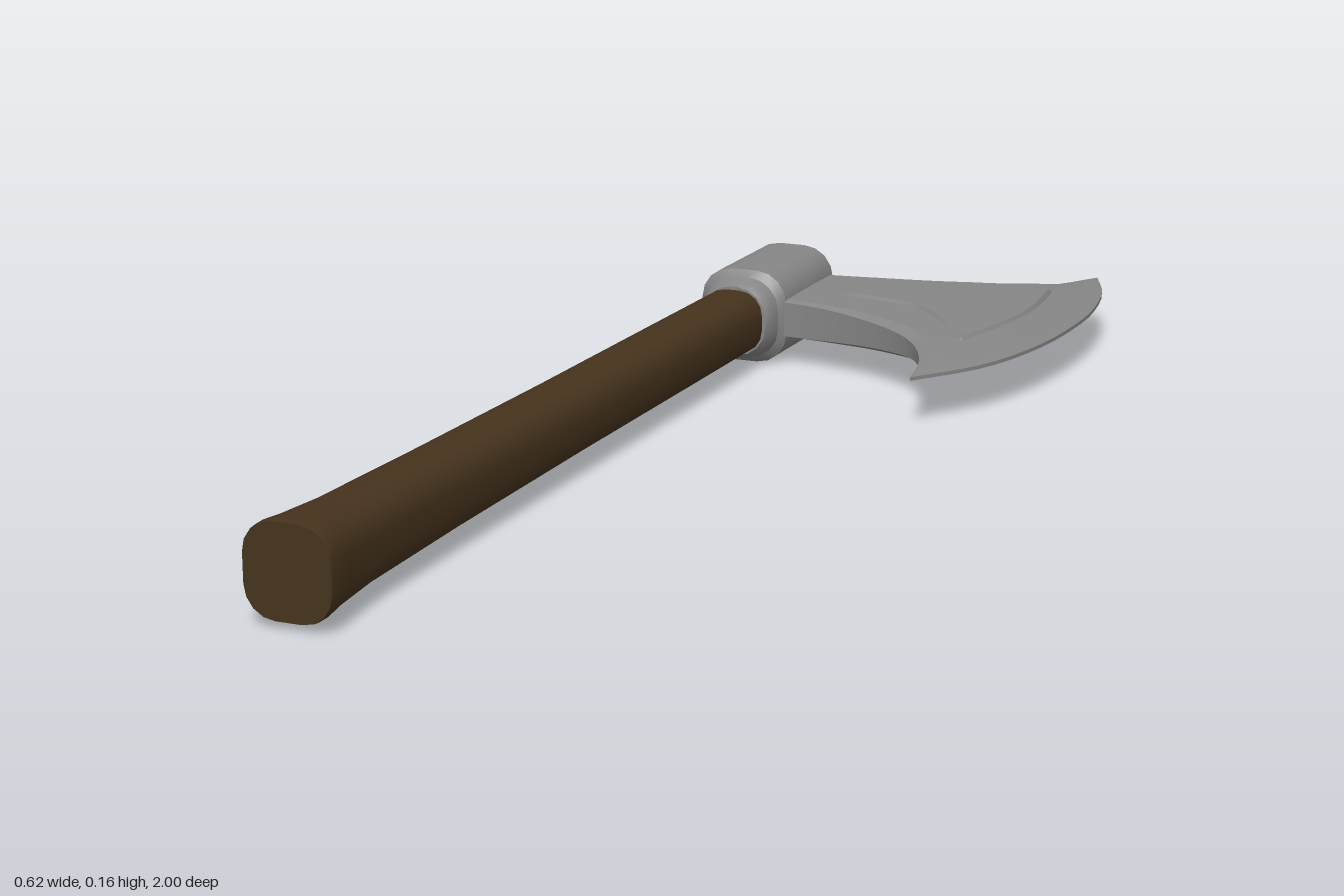
import * as THREE from 'three';
import { toCreasedNormals } from 'three/addons/utils/BufferGeometryUtils.js';

const MID_Y = 0.082;
const steel = new THREE.MeshStandardMaterial({ color: 0x868686 });
const wood = new THREE.MeshStandardMaterial({ color: 0x46331d });

// Skin a list of equal-length closed rings, optionally capping both ends
function loft(rings, crease, capped) {
  const n = rings[0].length, pos = [], idx = [];
  rings.forEach((r) => r.forEach((p) => pos.push(p.x, p.y, p.z)));
  for (let i = 0; i < rings.length - 1; i++) {
    for (let j = 0; j < n; j++) {
      const k = (j + 1) % n;
      const a = i * n + j, b = i * n + k, c = a + n, d = b + n;
      idx.push(a, b, c, b, d, c);
    }
  }
  if (capped) {
    const last = (rings.length - 1) * n;
    for (let j = 1; j < n - 1; j++) {
      idx.push(0, j + 1, j, last, last + j, last + j + 1);
    }
  }
  const geo = new THREE.BufferGeometry();
  geo.setAttribute('position', new THREE.Float32BufferAttribute(pos, 3));
  geo.setIndex(idx);
  return toCreasedNormals(geo, crease);
}

// Rounded-rectangle ring across the handle axis
function roundedRing(cx, z, hx, hy, radius) {
  const pts = [], steps = 4;
  for (let q = 0; q < 4; q++) {
    const sx = q === 0 || q === 3 ? 1 : -1, sy = q < 2 ? 1 : -1;
    for (let s = 0; s <= steps; s++) {
      const a = (q + s / steps) * Math.PI / 2;
      pts.push(new THREE.Vector3(
        cx + sx * (hx - radius) + radius * Math.cos(a),
        MID_Y + sy * (hy - radius) + radius * Math.sin(a), z));
    }
  }
  return pts;
}

const curve = (pts) => new THREE.CatmullRomCurve3(pts.map(([x, z]) => new THREE.Vector3(x, 0, z)));

// Half thickness of the blade, falling from the root to the cutting edge
const PROFILE = [[0, 0.033], [0.12, 0.032], [0.26, 0.027], [0.355, 0.019], [0.385, 0.016], [0.405, 0.01], [0.43, 0.0085], [0.6, 0.004]];
const reach = (x, z) => Math.hypot(x + 0.155, (z + 0.62) * 0.7);
function halfThickness(r) {
  let i = 1;
  while (i < PROFILE.length - 1 && r > PROFILE[i][0]) i++;
  const [r0, h0] = PROFILE[i - 1], [r1, h1] = PROFILE[i];
  return THREE.MathUtils.lerp(h0, h1, Math.min(1, (r - r0) / (r1 - r0)));
}

// Two-sided plate spanning a back curve, a front curve and a bowed outer edge
function plate(back, front, outer, us, vs, height) {
  const tipA = outer.getPointAt(0), tipB = outer.getPointAt(1);
  const rings = us.map((u) => {
    const a = back.getPointAt(u), b = front.getPointAt(u);
    const top = vs.map((v) => {
      const bow = outer.getPointAt(v).sub(tipA.clone().lerp(tipB, v));
      const p = a.clone().lerp(b, v).addScaledVector(bow, u);
      p.y = height(p, u, v);
      return p;
    });
    const bottom = top.map((p) => new THREE.Vector3(p.x, -p.y, p.z)).reverse();
    return [...top, ...bottom];
  });
  // Close the outer edge on the middle plane
  rings.push(rings[rings.length - 1].map((p) => new THREE.Vector3(p.x, 0, p.z)));
  const geo = loft(rings, 0.25, false);
  geo.translate(0, MID_Y, 0);
  return geo;
}

// Even parameter steps with an extra line close to each end
function steps(n, first, last) {
  const list = [0];
  for (let i = 0; i <= n; i++) list.push(first + (last - first) * i / n);
  return [...list, 1];
}

export function createModel() {
  const group = new THREE.Group();
  const add = (name, geometry, material) => {
    const mesh = new THREE.Mesh(geometry, material);
    mesh.name = name;
    group.add(mesh);
  };

  // Handle: z, centre x, half width, half height, corner radius
  const handle = [
    [-0.795, -0.232, 0.043, 0.043, 0.03], [-0.785, -0.232, 0.05, 0.05, 0.036],
    [-0.5, -0.235, 0.053, 0.053, 0.04], [-0.2, -0.235, 0.054, 0.054, 0.041],
    [0.2, -0.235, 0.055, 0.055, 0.042], [0.6, -0.235, 0.056, 0.058, 0.042],
    [0.86, -0.234, 0.058, 0.062, 0.043], [0.95, -0.233, 0.063, 0.066, 0.045],
    [0.99, -0.232, 0.067, 0.069, 0.046], [1, -0.232, 0.066, 0.068, 0.046],
  ].map(([z, cx, hx, hy, r]) => roundedRing(cx, z, hx, hy, r));
  add('handle', loft(handle, 0.6, true), wood);

  // Socket around the handle, with a narrower collar towards the grip
  const socket = [
    [-0.737, 0.068, 0.07], [-0.728, 0.077, 0.079], [-0.515, 0.077, 0.079],
    [-0.503, 0.067, 0.069], [-0.48, 0.063, 0.064], [-0.47, 0.058, 0.059],
  ].map(([z, hx, hy]) => roundedRing(-0.233, z, hx, hy, 0.054));
  add('socket', loft(socket, 0.5, true), steel);

  // Blade body
  const blade = plate(
    curve([[-0.175, -0.728], [-0.14, -0.732], [-0.05, -0.752], [0.08, -0.808], [0.175, -0.895], [0.239, -1]]),
    curve([[-0.175, -0.512], [-0.14, -0.51], [-0.06, -0.495], [0.03, -0.46], [0.105, -0.405], [0.155, -0.315], [0.172, -0.228]]),
    curve([[0.239, -1], [0.279, -0.9], [0.304, -0.76], [0.307, -0.66], [0.294, -0.5], [0.25, -0.345], [0.172, -0.228]]),
    steps(18, 0.04, 0.93), steps(16, 0.05, 0.95),
    (p, u, v) => {
      if (u === 1) return 0.003;
      const r = reach(p.x, p.z);
      const rim = v === 0 || v === 1 ? 1 - 0.55 * Math.min(1, r / 0.42) : 1;
      return halfThickness(r) * rim;
    });
  add('blade', blade, steel);

  // Raised panel on both faces of the blade
  const panel = plate(
    curve([[-0.085, -0.668], [0.0, -0.676], [0.055, -0.69], [0.11, -0.73], [0.165, -0.785], [0.213, -0.84]]),
    curve([[-0.085, -0.588], [0.0, -0.578], [0.055, -0.566], [0.095, -0.53], [0.14, -0.475], [0.187, -0.408]]),
    curve([[0.213, -0.84], [0.226, -0.74], [0.23, -0.65], [0.216, -0.53], [0.187, -0.408]]),
    steps(14, 0.025, 0.97), steps(12, 0.04, 0.96),
    (p, u, v) => {
      const onRim = u === 0 || u === 1 || v === 0 || v === 1;
      return halfThickness(reach(p.x, p.z)) + (onRim ? -0.004 : 0.005);
    });
  add('bladePanel', panel, steel);

  return group;
}
